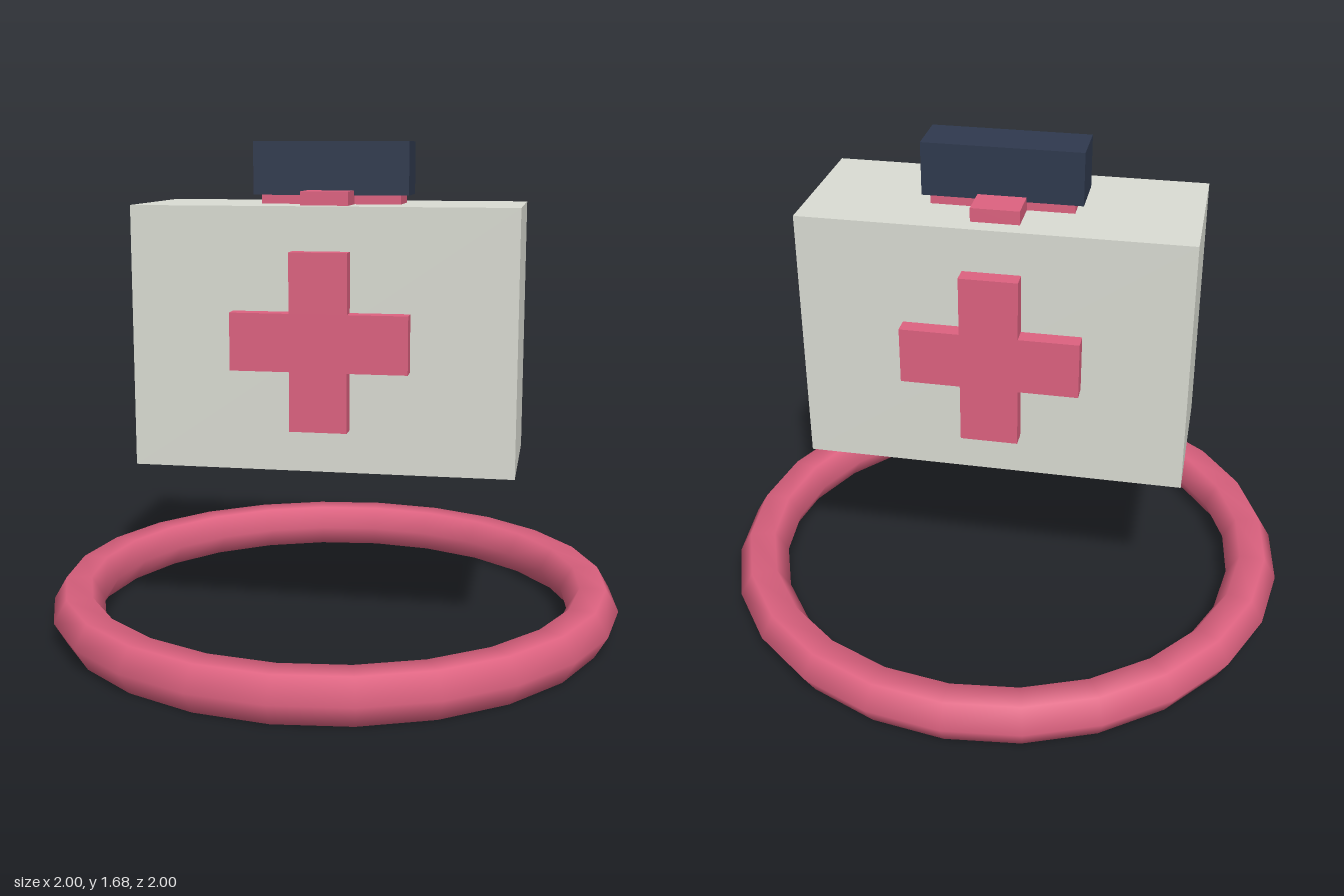
import * as THREE from 'three';

const pink = new THREE.MeshStandardMaterial({ name: 'rose pink', color: 0xdd6280 });
const grey = new THREE.MeshStandardMaterial({ name: 'warm light grey', color: 0xdadcd3 });
const navy = new THREE.MeshStandardMaterial({ name: 'dark navy', color: 0x2f394e });

// Plus-shaped plate in the xy plane, rising from z = 0 towards +z
function crossPlate(name, halfW, halfH, halfBar, depth) {
  const w = halfW, h = halfH, b = halfBar;
  const outline = [[-b, -h], [b, -h], [b, -b], [w, -b], [w, b], [b, b],
    [b, h], [-b, h], [-b, b], [-w, b], [-w, -b], [-b, -b]];
  const shape = new THREE.Shape(outline.map(([x, y]) => new THREE.Vector2(x, y)));
  const mesh = new THREE.Mesh(
    new THREE.ExtrudeGeometry(shape, { depth, bevelEnabled: false }), pink);
  mesh.name = name;
  return mesh;
}

function box(name, material, w, h, d, y) {
  const mesh = new THREE.Mesh(new THREE.BoxGeometry(w, h, d), material);
  mesh.name = name;
  mesh.position.y = y;
  return mesh;
}

export function createModel() {
  const model = new THREE.Group();
  model.name = 'medkitPickup';

  // Ground ring with a six-sided tube
  const ring = new THREE.Mesh(new THREE.TorusGeometry(0.911, 0.089, 6, 24), pink);
  ring.name = 'groundRing';
  ring.rotation.x = -Math.PI / 2;
  ring.position.y = 0.077;
  model.add(ring);

  // Floating kit, turned slightly about the vertical axis
  const kit = new THREE.Group();
  kit.name = 'medkit';
  kit.rotation.y = 0.025;
  kit.add(box('case', grey, 1.285, 0.88, 0.53, 1.03));
  kit.add(box('handle', navy, 0.53, 0.178, 0.173, 1.589));

  // Raised crosses on the front and back
  for (const side of [1, -1]) {
    const cross = crossPlate(side > 0 ? 'frontCross' : 'backCross', 0.295, 0.295, 0.096, 0.057);
    cross.position.set(0, 1.03, side * 0.265);
    cross.rotation.y = side > 0 ? 0 : Math.PI;
    kit.add(cross);
  }

  // Cross on the lid, under the handle
  const lidCross = crossPlate('topCross', 0.237, 0.205, 0.08, 0.046);
  lidCross.rotation.x = -Math.PI / 2;
  lidCross.position.y = 1.47;
  kit.add(lidCross);

  model.add(kit);
  return model;
}
